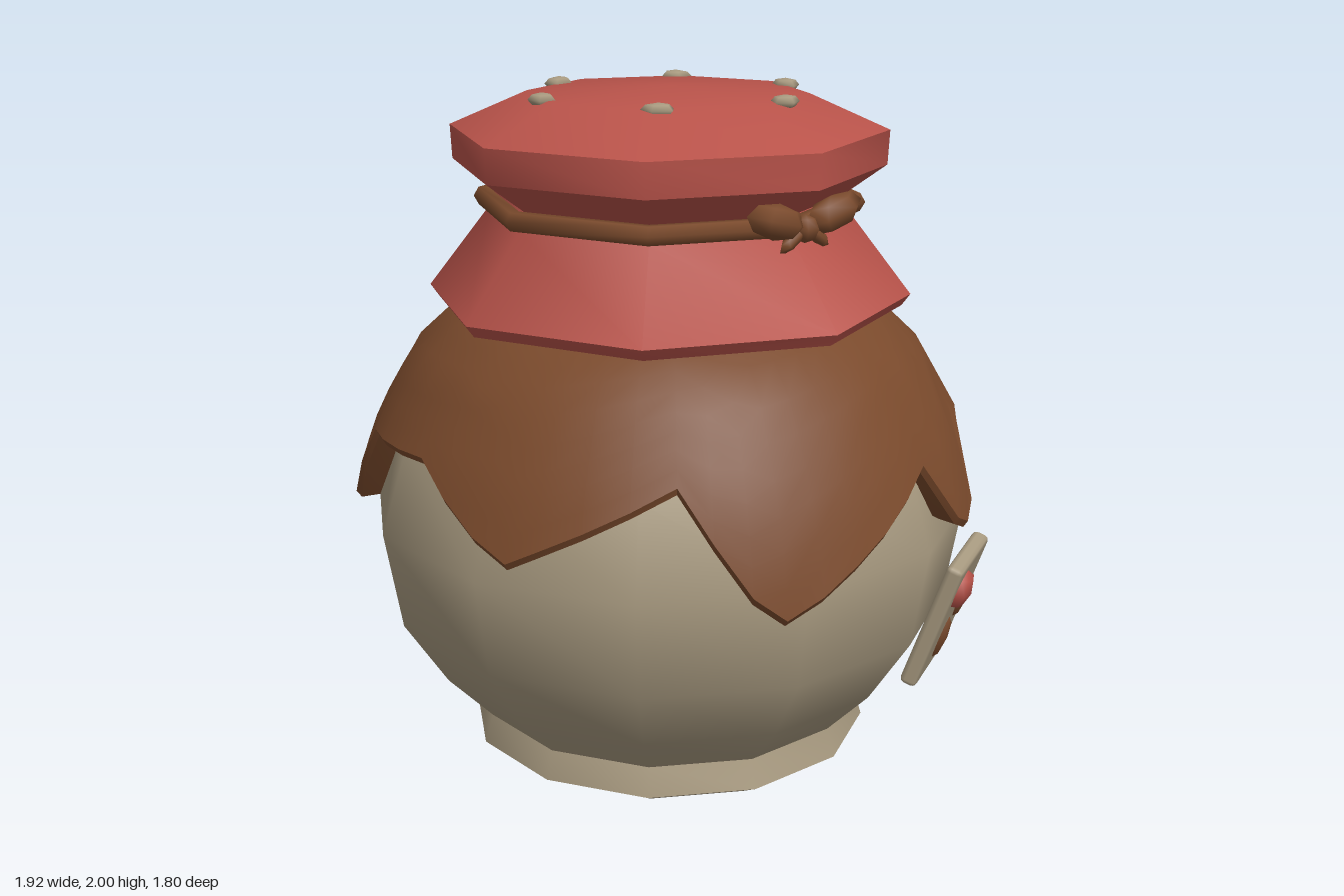
import * as THREE from 'three';
import { toCreasedNormals } from 'three/addons/utils/BufferGeometryUtils.js';
import { RoundedBoxGeometry } from 'three/addons/geometries/RoundedBoxGeometry.js';

const mat = (name, color, extra = {}) => new THREE.MeshStandardMaterial({ name, color, ...extra });
const rad = THREE.MathUtils.degToRad;

// piecewise linear lookup in a list of [x, y] pairs sorted by x
function lerpTable(table, x) {
  for (let i = 1; i < table.length; i++) {
    const [x0, y0] = table[i - 1], [x1, y1] = table[i];
    if (x <= x1) return y0 + (y1 - y0) * Math.max(0, (x - x0) / (x1 - x0));
  }
  return table[table.length - 1][1];
}

function lathe(points, sides, crease) {
  const g = new THREE.LatheGeometry(points.map(p => new THREE.Vector2(...p)), sides);
  return toCreasedNormals(g, crease);
}

// lower edge of the honey: [angle from the front towards the left, height]
const DRIPS = [
  [-98, 0.77], [-90, 0.72], [-84, 0.75], [-73, 1.0], [-46, 1.03], [-29, 0.88], [-22, 0.83], [-17, 0.87],
  [7, 1.05], [19, 0.77], [24.5, 0.7], [31, 0.75], [59, 1.0], [67, 0.82], [71, 0.79], [76, 0.83],
  [83, 1.03], [109, 1.06], [128, 0.74], [134, 0.69], [140, 0.73], [163, 1.01], [191, 0.9],
  [199, 0.83], [206, 0.87], [213, 1.02], [238, 1.03], [262, 0.77],
];
// honey radius by height
const HONEY = [[0.68, 0.955], [0.76, 0.955], [0.9, 0.92], [1.05, 0.865], [1.25, 0.75], [1.37, 0.62], [1.42, 0.5]];

function honeyGeometry() {
  // split wide gaps so the coat follows the round pot
  const columns = [];
  for (let i = 1; i < DRIPS.length; i++) {
    const [a0, y0] = DRIPS[i - 1], [a1, y1] = DRIPS[i];
    const n = Math.ceil((a1 - a0) / 9);
    for (let k = 0; k < n; k++) columns.push([a0 + (a1 - a0) * k / n, y0 + (y1 - y0) * k / n]);
  }
  const rows = 9, pos = [], index = [];
  for (const [a, yb] of columns) {
    const s = Math.sin(rad(a)), c = Math.cos(rad(a));
    const put = (r, y) => pos.push(r * s, y, r * c);
    for (let j = 0; j < rows; j++) {
      const y = 1.42 + (yb + 0.02 - 1.42) * j / (rows - 1);
      put(lerpTable(HONEY, y), y);
    }
    const r = lerpTable(HONEY, yb);
    put(r - 0.018, yb); // rounded lip
    put(r - 0.1, yb + 0.015); // underside running into the pot
  }
  const per = rows + 2, n = columns.length;
  for (let i = 0; i < n; i++) for (let j = 0; j < per - 1; j++) {
    const a = i * per + j, b = ((i + 1) % n) * per + j;
    index.push(a, a + 1, b, b, a + 1, b + 1);
  }
  const g = new THREE.BufferGeometry();
  g.setAttribute('position', new THREE.Float32BufferAttribute(pos, 3));
  g.setIndex(index);
  return toCreasedNormals(g, 0.6);
}

export function createModel() {
  const model = new THREE.Group();
  model.name = 'honeyPot';
  const clay = mat('clay', 0xa89a80);
  const honey = mat('honeyBrown', 0x7a4a2c, { side: THREE.DoubleSide });
  const red = mat('redCloth', 0xb9534a, { side: THREE.DoubleSide });

  const add = (name, geometry, material, parent = model) => {
    const m = new THREE.Mesh(geometry, material);
    m.name = name;
    parent.add(m);
    return m;
  };
  // low-poly squashed blob
  const blob = (name, material, size, at, parent, sides = 6) => {
    const m = add(name, new THREE.SphereGeometry(1, sides, 4), material, parent);
    m.scale.set(...size);
    m.position.set(...at);
    return m;
  };

  // pot with its foot
  add('pot', lathe([[0, 0], [0.53, 0], [0.61, 0.045], [0.585, 0.13], [0.72, 0.27], [0.85, 0.47],
    [0.9, 0.76], [0.82, 1.02], [0.58, 1.34], [0.45, 1.42]], 12, 0.85), clay);

  add('honeyCoat', honeyGeometry(), honey);

  // cloth lid: flared skirt, tied neck and domed top
  add('clothCover', lathe([[0.5, 1.38], [0.69, 1.366], [0.715, 1.4], [0.53, 1.64], [0.51, 1.69],
    [0.635, 1.78], [0.64, 1.88], [0.41, 1.98], [0, 2]], 8, 0.8), red);

  // twine and bow
  const twine = add('twine', new THREE.TorusGeometry(0.545, 0.03, 6, 8), honey);
  twine.rotation.x = Math.PI / 2;
  twine.position.y = 1.67;
  const bow = new THREE.Group();
  bow.name = 'bow';
  bow.rotation.y = Math.PI / 4;
  bow.position.y = 1.67;
  model.add(bow);
  blob('bowKnot', honey, [0.04, 0.04, 0.04], [0, 0, 0.58], bow);
  for (const s of [-1, 1]) {
    const loop = blob('bowLoop', honey, [0.11, 0.05, 0.045], [s * 0.105, 0.03, 0.58], bow);
    loop.rotation.z = s * 0.25;
    const tail = blob('bowTail', honey, [0.055, 0.02, 0.02], [s * 0.045, -0.025, 0.58], bow);
    tail.rotation.z = -s * 0.6;
  }

  // pale spots on the lid
  for (let i = 0; i < 6; i++) {
    const a = i * Math.PI / 3 + 0.03;
    const spot = blob('lidSpot', clay, [0.05, 0.02, 0.04], [0.39 * Math.sin(a), 1.98, 0.39 * Math.cos(a)], model, 5);
    spot.rotation.y = a;
  }

  // tag on the side with a berry and two seeds
  const tag = new THREE.Group();
  tag.name = 'tag';
  tag.rotation.set(rad(19), rad(73), 0, 'YXZ');
  tag.position.set(0.84, 0.52, 0.26);
  model.add(tag);
  add('tagPlate', new RoundedBoxGeometry(0.33, 0.4, 0.05, 1, 0.015), clay, tag);
  blob('tagBerry', red, [0.062, 0.062, 0.035], [-0.08, 0.115, 0.025], tag, 8);
  blob('tagSeed', honey, [0.026, 0.066, 0.02], [0.05, 0.03, 0.025], tag);
  blob('tagSeed', honey, [0.026, 0.072, 0.02], [-0.03, -0.075, 0.025], tag);

  return model;
}
